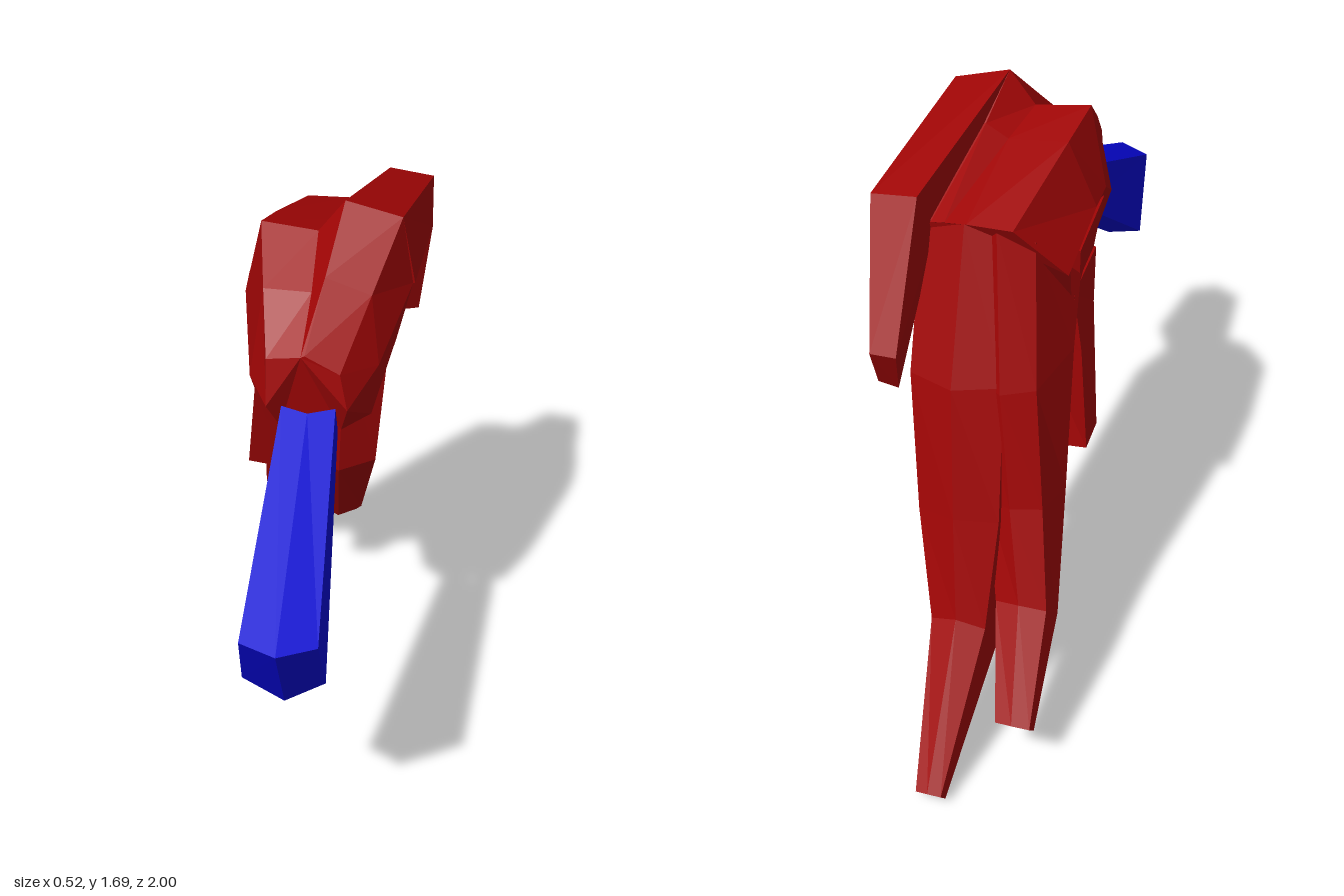
import * as THREE from 'three';

const red = new THREE.MeshStandardMaterial({ color: 0xa00505, flatShading: true });
const blue = new THREE.MeshStandardMaterial({ color: 0x0505d0, flatShading: true });

// Skin a list of equal-length rings of [x, y, z] points and cap both ends
function loft(name, rings, material) {
  const n = rings[0].length;
  const tris = [];
  for (let r = 0; r < rings.length - 1; r++) {
    for (let i = 0; i < n; i++) {
      const j = (i + 1) % n;
      const [a, b, c, d] = [rings[r][i], rings[r][j], rings[r + 1][j], rings[r + 1][i]];
      tris.push([a, b, c], [a, c, d]);
    }
  }
  const first = rings[0], last = rings[rings.length - 1];
  for (let i = 2; i < n; i++) {
    const j = (i + 1) % n;
    tris.push([first[1], first[j], first[i]], [last[1], last[i], last[j]]);
  }
  // A negative enclosed volume means the faces point inwards
  let volume = 0;
  for (const t of tris) {
    const [a, b, c] = t.map(p => new THREE.Vector3(...p));
    volume += a.dot(b.cross(c));
  }
  if (volume < 0) tris.forEach(t => t.reverse());
  const geometry = new THREE.BufferGeometry();
  geometry.setAttribute('position', new THREE.Float32BufferAttribute(tris.flat(2), 3));
  geometry.computeVertexNormals();
  const mesh = new THREE.Mesh(geometry, material);
  mesh.name = name;
  return mesh;
}

// Six-sided finger section from its x range and its front and back (y, z) points;
// skew slides the back towards +x
function section(x0, x1, yFront, zFront, yBack, zBack, skew = 0) {
  const xm = (x0 + x1) / 2;
  return [[xm, 0], [x1, 0.15], [x1, 0.85], [xm, 1], [x0, 0.85], [x0, 0.15]].map(
    ([x, t]) => [x + skew * t, yFront + (yBack - yFront) * t, zFront + (zBack - zFront) * t]);
}

export function createModel() {
  const model = new THREE.Group();
  model.name = 'hand';

  // Palm from wrist to knuckles
  model.add(loft('palm', [
    [[-0.12, 1.39, 0.31], [-0.03, 1.405, 0.32], [-0.02, 1.41, 0.32], [0.07, 1.36, 0.32],
      [0.09, 1.26, 0.33], [0.07, 1.17, 0.28], [-0.09, 1.17, 0.28], [-0.12, 1.26, 0.33]],
    [[-0.145, 1.51, 0.16], [-0.02, 1.505, 0.16], [0.015, 1.55, 0.16], [0.135, 1.505, 0.16],
      [0.16, 1.33, 0.21], [0.14, 1.16, 0.18], [-0.14, 1.13, 0.19], [-0.18, 1.27, 0.20]],
    [[-0.17, 1.62, 0], [-0.02, 1.60, 0], [0.05, 1.69, 0], [0.20, 1.65, 0],
      [0.23, 1.45, -0.02], [0.19, 1.28, -0.02], [-0.14, 1.20, -0.02], [-0.22, 1.40, -0.02]],
    [[-0.15, 1.58, -0.14], [0.01, 1.565, -0.14], [0.07, 1.60, -0.14], [0.20, 1.58, -0.14],
      [0.23, 1.45, -0.12], [0.20, 1.33, -0.10], [-0.16, 1.27, -0.12], [-0.225, 1.40, -0.13]],
    [[-0.10, 1.48, -0.45], [0.02, 1.48, -0.45], [0.08, 1.47, -0.44], [0.12, 1.46, -0.43],
      [0.15, 1.40, -0.41], [0.13, 1.18, -0.26], [-0.20, 1.18, -0.26], [-0.22, 1.33, -0.37]],
  ], red));

  // Two long fingers reaching down and back
  model.add(loft('middleFinger', [
    section(-0.10, 0.15, 1.25, -0.20, 1.48, -0.45),
    section(-0.10, 0.15, 1.08, -0.27, 1.07, -0.58),
    section(-0.11, 0.11, 0.59, -0.36, 0.72, -0.66),
    section(-0.10, 0.05, 0.24, -0.60, 0.44, -0.73),
    section(-0.065, 0.005, 0.00, -0.95, 0.06, -1.00),
  ], red));
  model.add(loft('indexFinger', [
    section(-0.23, -0.08, 1.22, -0.20, 1.47, -0.44, 0.10),
    section(-0.23, -0.08, 1.08, -0.27, 1.06, -0.55, 0.06),
    section(-0.24, -0.09, 0.70, -0.39, 0.74, -0.60, 0.03),
    section(-0.26, -0.12, 0.37, -0.55, 0.48, -0.67, 0.01),
    section(-0.26, -0.165, 0.15, -0.78, 0.21, -0.84),
  ], red));

  // Raised outer finger, bent once at the knuckle
  model.add(loft('littleFinger', [
    [[0.05, 1.69, 0], [0.20, 1.65, 0], [0.235, 1.45, -0.02], [0.06, 1.44, 0]],
    [[0.13, 1.56, -0.49], [0.255, 1.545, -0.48], [0.26, 1.42, -0.41], [0.12, 1.42, -0.40]],
    [[0.14, 1.19, -0.65], [0.21, 1.19, -0.65], [0.22, 1.06, -0.58], [0.165, 1.05, -0.58]],
  ], red));

  // Thumb base under the palm, then the four-sided thumb hanging down
  model.add(loft('thumbBase', [
    [[-0.12, 1.30, 0.24], [0.08, 1.28, 0.24], [0.07, 1.15, 0.20], [-0.13, 1.12, 0.18]],
    [[-0.21, 1.36, 0.00], [0.04, 1.36, 0.00], [-0.06, 1.12, -0.05], [-0.18, 1.10, -0.06]],
    [[-0.22, 1.34, -0.26], [-0.04, 1.34, -0.26], [-0.08, 1.10, -0.20], [-0.20, 1.10, -0.20]],
  ], red));
  model.add(loft('thumb', [
    [[-0.20, 1.22, -0.03], [-0.08, 1.24, -0.05], [-0.07, 1.26, -0.25], [-0.21, 1.22, -0.28]],
    [[-0.21, 1.08, -0.08], [-0.10, 1.10, -0.08], [-0.09, 1.04, -0.23], [-0.23, 1.04, -0.27]],
    [[-0.25, 0.74, -0.17], [-0.165, 0.72, -0.18], [-0.155, 0.705, -0.25], [-0.245, 0.715, -0.255]],
  ], red));

  // Six-sided forearm flaring away from the wrist
  model.add(loft('forearm', [
    [[-0.08, 1.265, 0.33], [-0.01, 1.262, 0.355], [0.06, 1.265, 0.33],
      [0.06, 1.16, 0.27], [-0.01, 1.14, 0.28], [-0.08, 1.16, 0.27]],
    [[-0.105, 0.995, 0.95], [-0.01, 1.00, 1.00], [0.085, 0.995, 0.95],
      [0.09, 0.78, 0.83], [-0.01, 0.74, 0.86], [-0.12, 0.78, 0.83]],
  ], blue));

  return model;
}
